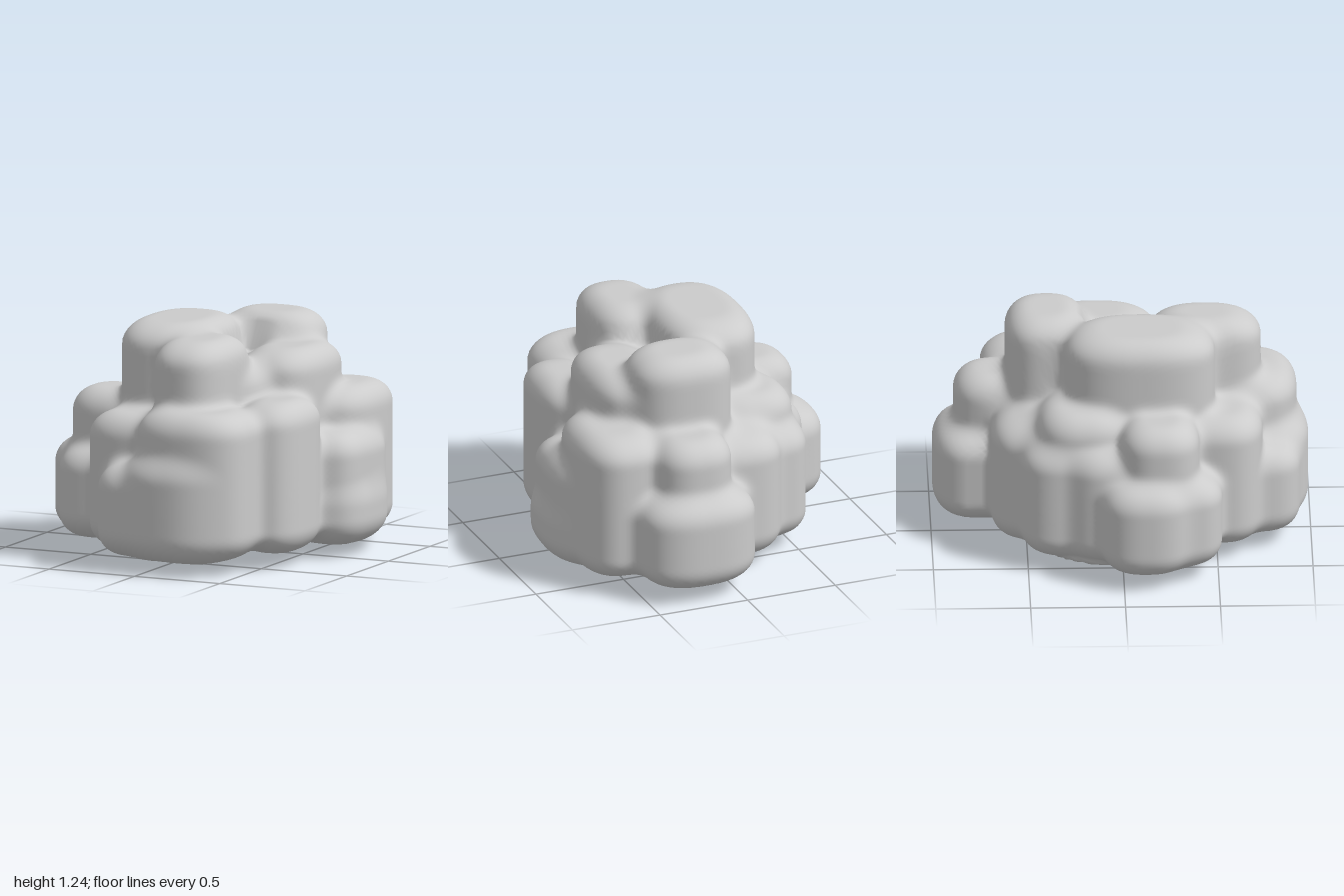
import * as THREE from 'three';
import { mergeVertices } from 'three/addons/utils/BufferGeometryUtils.js';

// Rounded columns of the boulder: [xMin, xMax, zMin, zMax, top]
const columns = [
  // inner core, and the saddle between the crown lumps
  [-0.5, 0.5, -0.6, 0.6, 0.78],
  [-0.25, 0.42, -0.35, 0.45, 1.03],
  // crown
  [-0.13, 0.42, -0.61, -0.17, 1.23],
  [-0.43, 0.10, -0.30, 0.49, 1.24],
  [-0.09, 0.33, 0.14, 0.74, 1.20],
  [0.16, 0.59, -0.46, 0.20, 1.10],
  // middle terrace
  [0.32, 0.69, 0.03, 0.58, 0.88],
  [0.30, 0.76, -0.73, -0.08, 0.87],
  [-0.02, 0.41, -0.88, -0.42, 0.86],
  [-0.72, -0.28, -0.02, 0.40, 0.86],
  [-0.55, -0.05, -0.45, 0.05, 0.87],
  [-0.10, 0.53, 0.42, 0.93, 0.86],
  [-0.46, 0.06, 0.30, 0.74, 0.80],
  // lower terrace
  [-0.85, -0.40, -0.12, 0.36, 0.57],
  [-0.74, -0.35, 0.08, 0.52, 0.56],
  [0.42, 0.81, -0.30, 0.10, 0.66],
  [0.45, 0.84, -0.42, 0.09, 0.40],
  [0.40, 0.82, -0.45, -0.08, 0.66],
  [-0.12, 0.52, -0.99, -0.50, 0.57],
  [-0.38, 0.10, -0.69, -0.25, 0.74],
  [-0.59, -0.15, -0.54, -0.05, 0.70],
  [-0.66, -0.25, -0.29, 0.12, 0.70],
  [-0.31, 0.10, 0.50, 0.94, 0.56],
  [-0.14, 0.42, 0.48, 0.99, 0.62],
].map(([x0, x1, z0, z1, top]) => ({
  x: (x0 + x1) / 2, z: (z0 + z1) / 2, rx: (x1 - x0) / 2, rz: (z1 - z0) / 2, top,
}));

const ROUND = 0.13, BLEND = 0.06, BOTTOM = 0.07;

// Distance to one rounded column with a superellipse footprint
function columnDistance(c, x, y, z) {
  const u = Math.abs(x - c.x) / c.rx, v = Math.abs(z - c.z) / c.rz;
  const side = (Math.pow(u ** 2.5 + v ** 2.5, 0.4) - 1) * Math.min(c.rx, c.rz) + ROUND;
  const mid = (c.top + BOTTOM) / 2;
  const cap = Math.abs(y - mid) - (c.top - BOTTOM) / 2 + ROUND;
  return Math.min(Math.max(side, cap), 0) + Math.hypot(Math.max(side, 0), Math.max(cap, 0)) - ROUND;
}

// Softly blended union of the columns, with a shallow pointed underside
function rockDistance(x, y, z) {
  let d = 10;
  for (const c of columns) {
    const e = columnDistance(c, x, y, z);
    const h = Math.max(BLEND - Math.abs(d - e), 0);
    d = Math.min(d, e) - (h * h) / (4 * BLEND);
  }
  const r = Math.hypot(x + 0.1, z);
  const keel = Math.max(0.12 * r - y, r - 0.52);
  return Math.min(d, Math.max(keel, y - 0.3));
}

// Shrink a fine sphere onto the blended surface
function shrinkWrap(center, detail) {
  let geo = new THREE.IcosahedronGeometry(1, detail);
  geo.deleteAttribute('normal');
  geo.deleteAttribute('uv');
  geo = mergeVertices(geo, 1e-5);
  const pos = geo.attributes.position;
  const dir = new THREE.Vector3();
  for (let i = 0; i < pos.count; i++) {
    dir.fromBufferAttribute(pos, i).normalize();
    const at = (t) => rockDistance(center.x + dir.x * t, center.y + dir.y * t, center.z + dir.z * t);
    let t = 1.3;
    while (t > 0.05 && at(t) > 0) t -= 0.02;
    let inside = t, outside = t + 0.02;
    for (let k = 0; k < 7; k++) {
      const m = (inside + outside) / 2;
      if (at(m) > 0) outside = m; else inside = m;
    }
    pos.setXYZ(i, center.x + dir.x * inside, center.y + dir.y * inside, center.z + dir.z * inside);
  }
  geo.computeVertexNormals();
  return geo;
}

export function createModel() {
  const group = new THREE.Group();
  group.name = 'boulder';
  const material = new THREE.MeshStandardMaterial({ color: 0xcccccc });
  const rock = new THREE.Mesh(shrinkWrap(new THREE.Vector3(0.02, 0.35, 0), 44), material);
  rock.name = 'rock';
  group.add(rock);
  return group;
}
